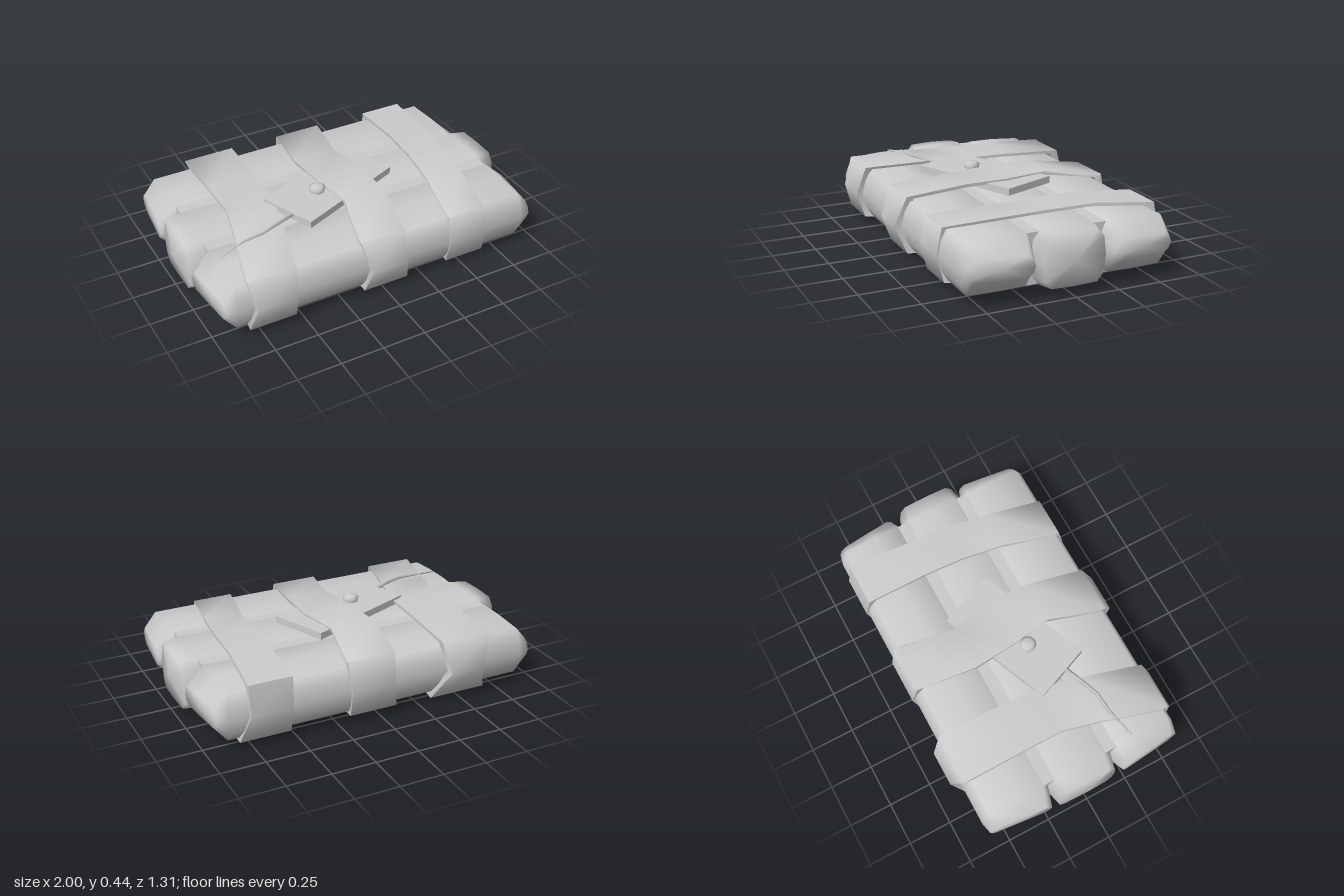
import * as THREE from 'three';
import { toCreasedNormals } from 'three/addons/utils/BufferGeometryUtils.js';

const grey = new THREE.MeshStandardMaterial({ color: 0xcccccc });
const thin = new THREE.MeshStandardMaterial({ color: 0xcccccc, side: THREE.DoubleSide });
const MID_Y = 0.205;

// Joins rings of [x, y, z] points into a smooth skin, with optional end points.
function loft(rings, startTip, endTip) {
  const n = rings[0].length, pts = rings.flat(), index = [];
  for (let i = 0; i < rings.length - 1; i++) {
    for (let j = 0; j < n; j++) {
      const a = i * n + j, b = i * n + (j + 1) % n;
      index.push(a, b, a + n, b, b + n, a + n);
    }
  }
  if (startTip) {
    const s = pts.push(startTip) - 1, e = pts.push(endTip) - 1, last = (rings.length - 1) * n;
    for (let j = 0; j < n; j++) {
      const k = (j + 1) % n;
      index.push(s, k, j, e, last + j, last + k);
    }
  }
  const g = new THREE.BufferGeometry();
  g.setAttribute('position', new THREE.Float32BufferAttribute(pts.flat(), 3));
  g.setIndex(index);
  g.computeVertexNormals();
  return g;
}

// Soft brick along x; section is [y, z] points running from the top towards +z.
function brick(section, { midZ, tipX, endX, endZ, slant, endHeight }) {
  const body = (x) => section.map(([y, z]) => [x, y, z]);
  const end = (side) => section.map(([y, z]) => [
    side * (endX - slant * (Math.abs(z) - Math.abs(midZ))),
    MID_Y + (y - MID_Y) * endHeight,
    endZ + (z - midZ) * 0.88,
  ]);
  return loft(
    [end(-1), body(-0.88), body(-0.4), body(0.4), body(0.88), end(1)],
    [-tipX, MID_Y, endZ], [tipX, MID_Y, endZ],
  );
}

// Strap wound round the bundle, its edges turned in to the bricks;
// rows are [z, y, left edge x, right edge x].
function strap(rows) {
  const edge = (column, tuck) => rows.map((r) => [
    r[column], MID_Y + (r[1] - MID_Y) * (1 - 1.2 * tuck), r[0] * (1 - tuck),
  ]);
  return toCreasedNormals(loft([edge(2, 0.07), edge(2, 0), edge(3, 0), edge(3, 0.07)]), 1.3);
}

export function createModel() {
  const model = new THREE.Group();
  const add = (name, geometry, material = grey) => {
    const mesh = new THREE.Mesh(geometry, material);
    mesh.name = name;
    model.add(mesh);
    return mesh;
  };

  // three soft bricks side by side, the outer two with wedge-shaped ends
  const middle = [[0.36, 0], [0.355, 0.15], [0.31, 0.19], [0.2, 0.205], [0.1, 0.19], [0.055, 0.15],
    [0.05, 0], [0.055, -0.15], [0.1, -0.19], [0.2, -0.205], [0.31, -0.19], [0.355, -0.15]];
  const outer = [[0.35, 0.38], [0.338, 0.56], [0.28, 0.592], [0.2, 0.607], [0.12, 0.592], [0.065, 0.56],
    [0.06, 0.38], [0.065, 0.23], [0.13, 0.2], [0.2, 0.19], [0.28, 0.2], [0.35, 0.23]];
  const mirrored = outer.map(([y, z]) => [y, -z]).reverse();
  const wedge = { tipX: 0.97, endX: 0.965, slant: 0.09, endHeight: 0.4 };
  add('middleBrick', brick(middle, { midZ: 0, endZ: 0, tipX: 1, endX: 0.975, slant: 0, endHeight: 0.95 }));
  add('frontBrick', brick(outer, { ...wedge, midZ: 0.4, endZ: 0.41 }));
  add('backBrick', brick(mirrored, { ...wedge, midZ: -0.4, endZ: -0.41 }));

  // filling that closes the grooves between the bricks
  add('filling', new THREE.BoxGeometry(1.76, 0.282, 0.56)).position.y = MID_Y;

  // three skewed wrapping straps
  add('rightStrap', strap([
    [0, 0.392, -0.67, -0.39], [0.25, 0.385, -0.73, -0.45], [0.59, 0.36, -0.82, -0.54],
    [0.645, 0.2, -0.79, -0.56], [0.6, 0.055, -0.82, -0.55],
    [0, 0.005, -0.64, -0.4], [-0.58, 0.035, -0.66, -0.32],
    [-0.66, 0.2, -0.6, -0.4], [-0.6, 0.375, -0.67, -0.37], [-0.25, 0.39, -0.67, -0.38],
  ]), thin);
  add('middleStrap', strap([
    [0, 0.414, -0.11, 0.18], [0.25, 0.412, -0.07, 0.175], [0.58, 0.365, -0.15, 0.12],
    [0.65, 0.2, -0.11, 0.105], [0.59, 0.045, -0.13, 0.14],
    [0, 0.03, -0.12, 0.17], [-0.58, 0.045, -0.1, 0.18],
    [-0.625, 0.2, -0.07, 0.19], [-0.59, 0.375, -0.08, 0.2], [-0.25, 0.414, -0.13, 0.13],
  ]), thin);
  add('leftStrap', strap([
    [0, 0.395, 0.5, 0.72], [0.25, 0.38, 0.47, 0.69], [0.585, 0.35, 0.4, 0.63],
    [0.618, 0.2, 0.4, 0.635], [0.58, 0.05, 0.4, 0.64],
    [0, 0.02, 0.52, 0.8], [-0.58, 0.045, 0.53, 0.82],
    [-0.62, 0.2, 0.53, 0.77], [-0.59, 0.37, 0.52, 0.77], [-0.25, 0.4, 0.51, 0.735],
  ]), thin);

  // flat plate held under the middle strap
  const plate = add('plate', new THREE.BoxGeometry(0.7, 0.04, 0.345));
  plate.position.set(-0.06, 0.384, 0.036);
  plate.rotation.y = 0.387;

  // domed knob on the plate
  const profile = [[0.042, 0], [0.048, 0.025], [0.03, 0.037], [0, 0.04]].map((p) => new THREE.Vector2(...p));
  add('knob', new THREE.LatheGeometry(profile, 10)).position.set(-0.15, 0.402, 0.075);

  // loose wire, thinning towards its free end: [x, y, z, radius]
  const wire = [[-0.86, 0.362, 0.335, 0.004], [-0.7, 0.385, 0.288, 0.01], [-0.58, 0.392, 0.277, 0.012],
    [-0.47, 0.392, 0.235, 0.015], [-0.36, 0.388, 0.19, 0.017]];
  add('wire', loft(wire.map(([x, y, z, r]) => [[x, y + r, z], [x, y, z + r], [x, y - r, z], [x, y, z - r]])), thin);

  return model;
}
